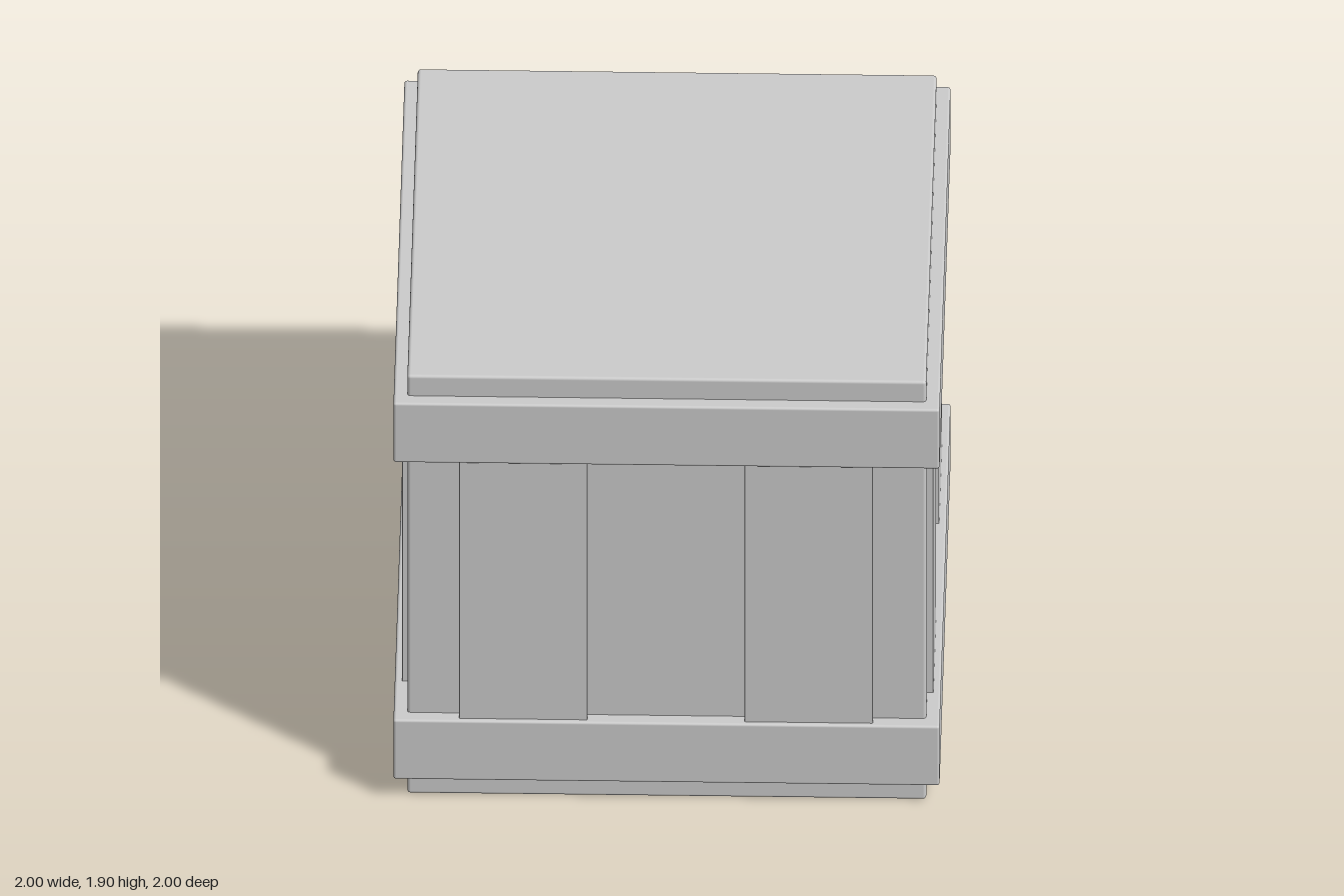
import * as THREE from 'three';
import { RoundedBoxGeometry } from 'three/addons/geometries/RoundedBoxGeometry.js';

const material = new THREE.MeshStandardMaterial({ color: 0xcccccc });

function block(name, w, h, d, radius, x, y, z) {
  const mesh = new THREE.Mesh(new RoundedBoxGeometry(w, h, d, 2, radius), material);
  mesh.name = name;
  mesh.position.set(x, y, z);
  return mesh;
}

export function createModel() {
  const crate = new THREE.Group();
  crate.name = 'crate';

  // Core box: forms the lid, the base and the recessed boards
  crate.add(block('body', 1.9, 1.9, 1.9, 0.012, 0, 0.95, 0));

  // Bands running round the top and the bottom
  crate.add(block('lowerBand', 2, 0.27, 2, 0.01, 0, 0.235, 0));
  crate.add(block('upperBand', 2, 0.27, 2, 0.01, 0, 1.675, 0));

  // Two raised planks per wall: turn, outer face distance, plank edges across the wall
  const walls = [
    ['front', 0, 0.983, [[-0.76, -0.29], [0.285, 0.755]]],
    ['right', Math.PI / 2, 0.973, [[-0.79, -0.32], [0.255, 0.73]]],
    ['back', Math.PI, 0.983, [[-0.745, -0.275], [0.3, 0.77]]],
    ['left', -Math.PI / 2, 0.973, [[-0.76, -0.295], [0.28, 0.757]]],
  ];
  for (const [side, turn, face, planks] of walls) {
    const wall = new THREE.Group();
    wall.name = side + 'Wall';
    wall.rotation.y = turn;
    for (const [a, b] of planks) {
      wall.add(block('plank', b - a, 1.24, 0.06, 0.003, (a + b) / 2, 0.955, face - 0.03));
    }
    crate.add(wall);
  }

  return crate;
}
